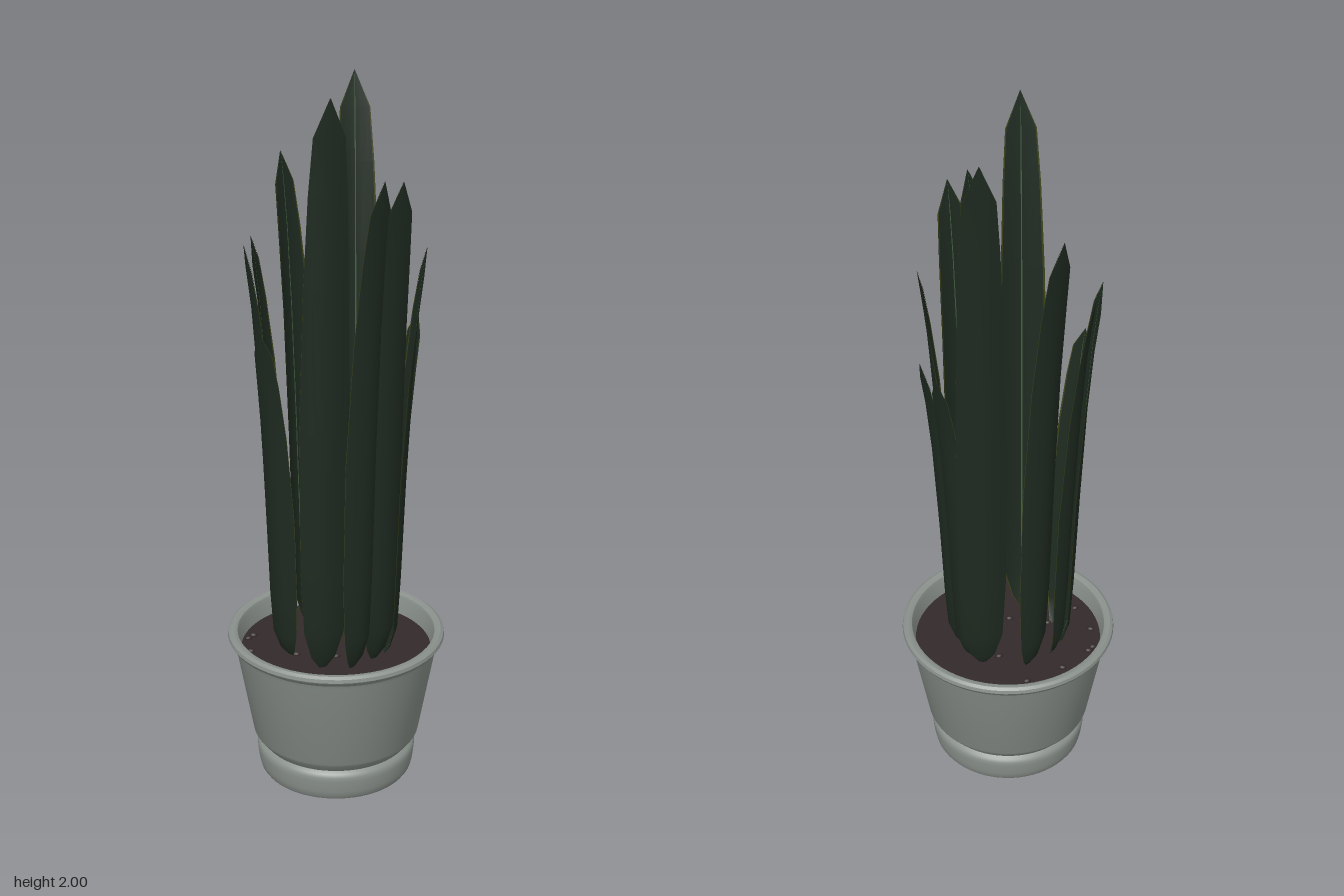
import * as THREE from 'three';
import { toCreasedNormals } from 'three/addons/utils/BufferGeometryUtils.js';

const mat = (name, color, side = THREE.FrontSide) => {
  const m = new THREE.MeshStandardMaterial({ color, side });
  m.name = name;
  return m;
};

const SOIL_Y = 0.385;

// Blade rows: fraction of height, fraction of width, outward lean, depth of the channel
const ROWS = [
  [0, 0.06, 0, 0], [0.03, 0.5, 0.025, 0.01], [0.08, 0.82, 0.043, 0.02], [0.2, 0.96, 0.051, 0.025],
  [0.45, 1, 0.062, 0.027], [0.7, 0.87, 0.076, 0.019], [0.85, 0.74, 0.088, 0.009],
  [0.94, 0.6, 0.099, 0.003], [1, 0.01, 0.109, 0],
];

// Leaves: base x, base z, outward direction x, z, tip height
const LEAVES = [
  [-0.069, 0.118, 0, 1, 2.0],
  [0.011, 0.138, 32, 50, 1.79],
  [0.085, 0.1, 21, 50, 1.78],
  [0.118, 0.074, 50, 7, 1.58],
  [0.134, 0, 55, -15, 1.37],
  [0.115, -0.067, 48, -27, 1.37],
  [0.092, -0.106, 6, -55, 2.0],
  [-0.034, -0.135, -39, -49, 1.79],
  [-0.104, -0.096, -50, -23, 1.58],
  [-0.131, -0.054, -54, 2, 1.58],
  [-0.136, 0.02, -49, 33, 1.37],
];

// Surface running up a channelled blade, across the given widthwise positions (-1 to 1)
function bladeStrip(height, cols, inset = 0) {
  const half = 0.022 + 0.0235 * height;
  const y0 = SOIL_Y - 0.01;
  const pos = [], index = [], n = cols.length;
  for (const [f, w, s, depth] of ROWS) {
    for (const u of cols) {
      pos.push(u * w * half, y0 + f * (height - y0), s - (depth * u * u * half) / 0.069 - inset);
    }
  }
  for (let r = 0; r < ROWS.length - 1; r++) {
    for (let c = 0; c < n - 1; c++) {
      const a = r * n + c, b = a + n;
      index.push(a, a + 1, b, a + 1, b + 1, b);
    }
  }
  const g = new THREE.BufferGeometry();
  g.setAttribute('position', new THREE.Float32BufferAttribute(pos, 3));
  g.setIndex(index);
  g.computeVertexNormals();
  return g;
}

export function createModel() {
  const potGrey = mat('pot grey', 0x8a918c);
  const soilBrown = mat('soil brown', 0x33292a);
  const leafGreen = mat('leaf green', 0x1e2a20, THREE.DoubleSide);
  const edgeOlive = mat('leaf edge olive', 0x3c4218, THREE.DoubleSide);
  const ribGreen = mat('midrib green', 0x43603f, THREE.DoubleSide);

  const root = new THREE.Group();
  root.name = 'pottedPlant';
  const add = (parent, name, geometry, material) => {
    const m = new THREE.Mesh(geometry, material);
    m.name = name;
    parent.add(m);
    return m;
  };

  // Pot: rounded foot, undercut groove, flared wall, rolled rim and inner wall
  const profile = [
    [0, 0], [0.205, 0], [0.218, 0.003], [0.224, 0.012], [0.228, 0.03], [0.232, 0.065], [0.232, 0.078],
    [0.228, 0.088], [0.218, 0.095], [0.238, 0.12], [0.243, 0.13], [0.291, 0.4], [0.295, 0.412],
    [0.306, 0.42], [0.313, 0.431], [0.311, 0.441], [0.303, 0.447], [0.293, 0.447], [0.285, 0.442],
    [0.281, 0.432], [0.273, 0.37],
  ].map(([x, y]) => new THREE.Vector2(x, y));
  add(root, 'pot', toCreasedNormals(new THREE.LatheGeometry(profile, 64), 0.6), potGrey);

  // Soil disc
  const soil = add(root, 'soil', new THREE.CircleGeometry(0.276, 64), soilBrown);
  soil.rotation.x = -Math.PI / 2;
  soil.position.y = SOIL_Y;

  // Pebbles scattered over the soil
  const pebbles = new THREE.Group();
  pebbles.name = 'pebbles';
  root.add(pebbles);
  const pebbleShape = new THREE.SphereGeometry(0.012, 12, 8);
  [
    [-0.023, -0.25], [-0.021, -0.213], [-0.132, -0.173], [-0.222, -0.112], [-0.239, -0.097],
    [-0.248, -0.018], [-0.125, 0.032], [-0.222, 0.086], [-0.174, 0.148], [-0.18, 0.156],
    [-0.117, 0.213], [-0.016, 0.07], [-0.038, -0.102], [0.041, -0.094], [0.1, -0.06],
  ].forEach(([x, z], i) => {
    const p = add(pebbles, 'pebble', pebbleShape, soilBrown);
    p.position.set(x, SOIL_Y + 0.002, z);
    p.rotation.y = 0.4 * Math.sin(i * 2);
    p.scale.set(1, 0.6, 0.75);
  });

  // Ring of upright leaves, each with olive margins and a pale midrib on the inner face
  for (const [x, z, dx, dz, height] of LEAVES) {
    const leaf = new THREE.Group();
    leaf.name = 'leaf';
    leaf.position.set(x, 0, z);
    leaf.rotation.y = Math.atan2(dx, dz);
    root.add(leaf);
    add(leaf, 'blade', bladeStrip(height, [-1, -0.92, -0.65, -0.3, 0, 0.3, 0.65, 0.92, 1]), leafGreen);
    add(leaf, 'rightMargin', bladeStrip(height, [-1, -0.92], 0.0015), edgeOlive);
    add(leaf, 'leftMargin', bladeStrip(height, [0.92, 1], 0.0015), edgeOlive);
    add(leaf, 'midrib', bladeStrip(height, [-0.03, 0.03], 0.0015), ribGreen);
  }
  return root;
}
